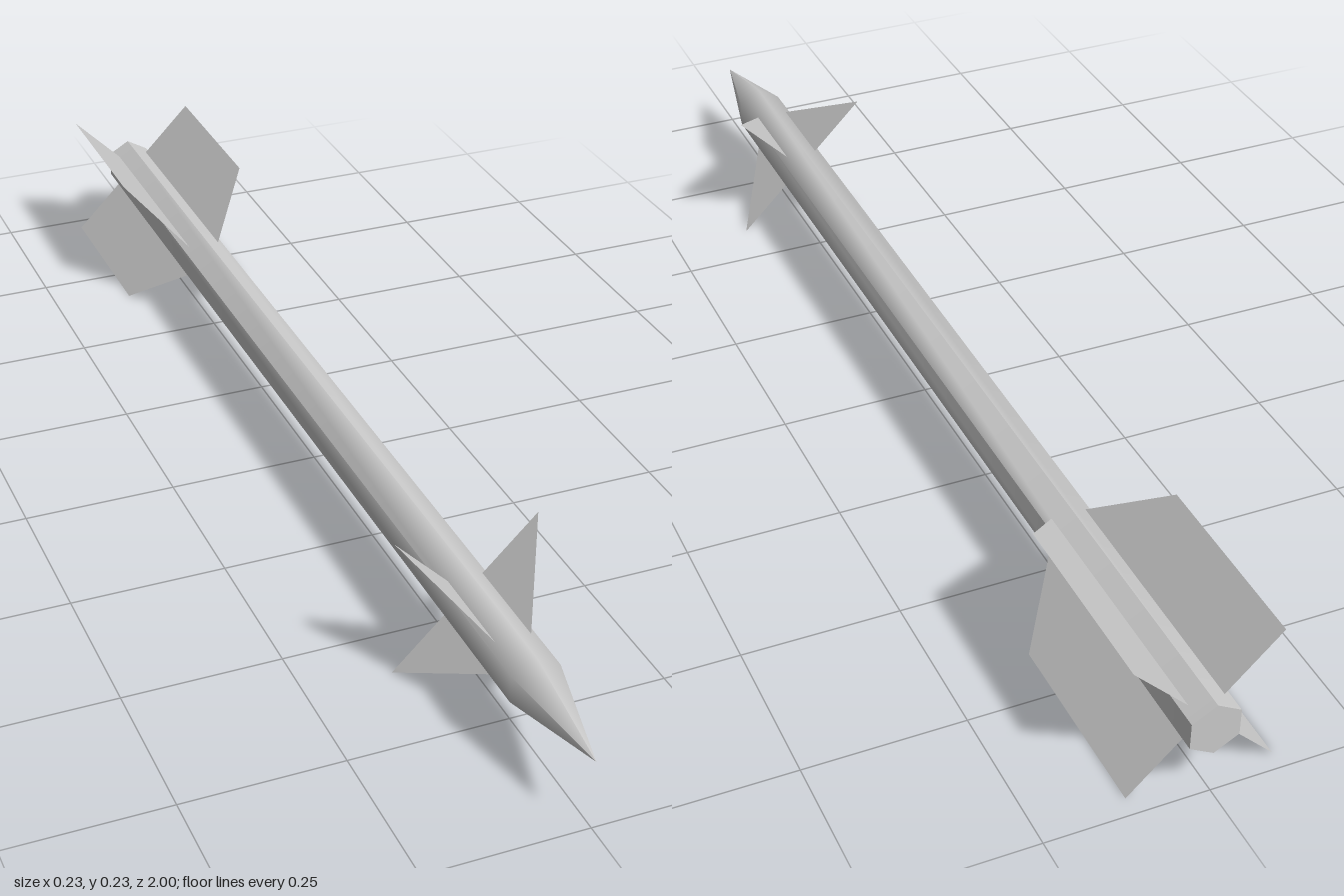
import * as THREE from 'three';

const R = 0.0435, AXIS_Y = 0.117, SHOULDER = 0.82;
const grey = new THREE.MeshStandardMaterial({ color: 0xcccccc });
const thin = new THREE.MeshStandardMaterial({ color: 0xcccccc, side: THREE.DoubleSide });

// Hexagonal section along z: smooth at the shoulder, faceted at its far end
function hexSection(rFront, rBack, zFront, zBack) {
  const geo = new THREE.CylinderGeometry(rFront, rBack, zFront - zBack, 6, 1, true)
    .rotateX(Math.PI / 2)
    .translate(0, 0, (zFront + zBack) / 2)
    .toNonIndexed();
  geo.computeVertexNormals();
  const pos = geo.attributes.position, nor = geo.attributes.normal;
  const n = new THREE.Vector3();
  for (let i = 0; i < pos.count; i++) {
    if (Math.abs(pos.getZ(i) - SHOULDER) > 0.001) continue;
    n.set(pos.getX(i) / R, pos.getY(i) / R, 0.12).normalize();
    nor.setXYZ(i, n.x, n.y, n.z);
  }
  return geo;
}

// Four thin fins set diagonally; points are [distance from axis, z]
function finSet(name, points) {
  const set = new THREE.Group();
  set.name = name + 's';
  const shape = new THREE.Shape(points.map(([r, z]) => new THREE.Vector2(r, z)));
  const geo = new THREE.ShapeGeometry(shape).rotateX(Math.PI / 2);
  for (let i = 0; i < 4; i++) {
    const fin = new THREE.Mesh(geo, thin);
    fin.name = name;
    fin.rotation.z = Math.PI / 4 + i * Math.PI / 2;
    set.add(fin);
  }
  return set;
}

export function createModel() {
  const model = new THREE.Group();
  model.name = 'missile';
  const add = (name, geo) => {
    const mesh = new THREE.Mesh(geo, grey);
    mesh.name = name;
    model.add(mesh);
  };

  // Body, pointed nose and flat tail
  add('body', hexSection(R, R, SHOULDER, -1));
  add('noseCone', hexSection(0, R, 1, SHOULDER));
  add('tailCap', new THREE.CircleGeometry(R, 6, Math.PI / 2).rotateY(Math.PI).translate(0, 0, -1));

  // Triangular front fins and clipped tail fins
  model.add(finSet('frontFin', [[0.038, 0.75], [0.16, 0.59], [0.038, 0.59]]));
  model.add(finSet('tailFin', [[0.038, -0.545], [0.16, -0.66], [0.16, -0.97], [0.038, -0.97]]));

  model.position.y = AXIS_Y;
  const root = new THREE.Group();
  root.add(model);
  return root;
}
